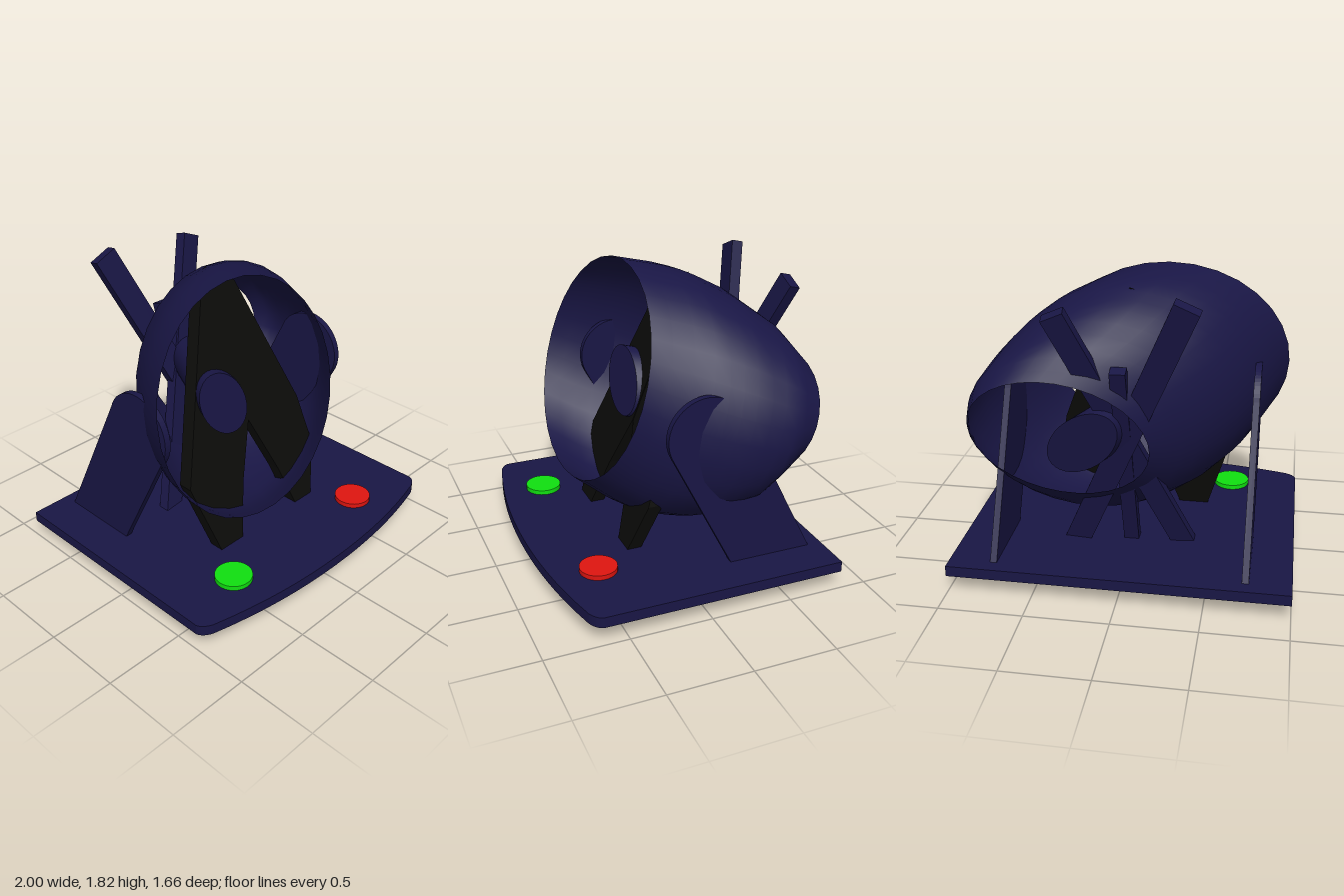
import * as THREE from 'three';

const paint = (color, side = THREE.FrontSide) => {
  const m = new THREE.MeshStandardMaterial({ side });
  m.color.set(color);
  return m;
};
const V = (x, y, z) => new THREE.Vector3(x, y, z);
const NAVY = 0x191645, BLACK = 0x0c0c0a;

export function createModel() {
  const model = new THREE.Group();
  model.name = 'deskFan';
  const navy = paint(NAVY), black = paint(BLACK);
  const add = (name, geometry, material) => {
    const mesh = new THREE.Mesh(geometry, material);
    mesh.name = name;
    model.add(mesh);
    return mesh;
  };
  const polygon = (pts) => new THREE.Shape(pts.map(([x, y]) => new THREE.Vector2(x, y)));

  // Base plate with a bowed front edge
  const plate = new THREE.Shape();
  plate.moveTo(-1, -0.835);
  plate.lineTo(1, -0.835);
  plate.lineTo(1, 0.65);
  plate.quadraticCurveTo(0.99, 0.69, 0.93, 0.715);
  plate.bezierCurveTo(0.6, 0.8, 0.3, 0.83, 0, 0.83);
  plate.bezierCurveTo(-0.3, 0.83, -0.6, 0.8, -0.93, 0.715);
  plate.quadraticCurveTo(-0.99, 0.69, -1, 0.65);
  const plateGeo = new THREE.ExtrudeGeometry(plate, { depth: 0.065, bevelEnabled: false, curveSegments: 8 });
  plateGeo.rotateX(Math.PI / 2);
  add('base', plateGeo, navy).position.y = 0.183;

  // Push buttons
  for (const [name, x, color] of [['startButton', -0.57, 0x10e010], ['stopButton', 0.54, 0xe01510]]) {
    add(name, new THREE.CylinderGeometry(0.113, 0.113, 0.04, 32), paint(color)).position.set(x, 0.192, 0.52);
  }

  // Leaning side supports with rounded tops
  const side = new THREE.Shape();
  side.moveTo(0.755, 0.17);
  side.lineTo(0.281, 1.1);
  side.absarc(0.06, 1.02, 0.235, 0.35, Math.PI + 0.5, false);
  side.lineTo(0.235, 0.17);
  const sideGeo = new THREE.ExtrudeGeometry(side, { depth: 0.04, bevelEnabled: false, curveSegments: 16 });
  sideGeo.rotateY(Math.PI / 2);
  for (const [name, x] of [['leftSupport', 0.735], ['rightSupport', -0.735]]) {
    add(name, sideGeo, navy).position.x = x - 0.02;
  }

  // Open skewed housing: rings of [centre x, y, z, half width, half height, skew]
  const rings = [
    [-0.18, 1.15, 0.285, 0.73, 0.66, 0],
    [0.0, 1.045, 0.0, 0.765, 0.715, 0],
    [0.12, 0.98, -0.22, 0.75, 0.68, 0],
    [0.25, 0.93, -0.46, 0.66, 0.57, 0.04],
    [0.35, 0.945, -0.635, 0.505, 0.385, 0.08],
  ];
  const centres = new THREE.CatmullRomCurve3(rings.map((r) => V(r[0], r[1], r[2])));
  const sizes = new THREE.CatmullRomCurve3(rings.map((r) => V(r[3], r[4], r[5])));
  const ROWS = 12, SEGS = 32, pos = [], index = [];
  for (let i = 0; i <= ROWS; i++) {
    const c = centres.getPoint(i / ROWS), s = sizes.getPoint(i / ROWS);
    for (let j = 0; j < SEGS; j++) {
      const a = (j / SEGS) * Math.PI * 2, cos = Math.cos(a), sin = Math.sin(a);
      pos.push(c.x + s.x * cos + s.z * sin, c.y + s.y * sin, c.z - 0.05 * s.x * cos - 0.3 * s.y * sin);
      if (i < ROWS) {
        const p = i * SEGS + j, q = i * SEGS + ((j + 1) % SEGS);
        index.push(p, p + SEGS, q, q, p + SEGS, q + SEGS);
      }
    }
  }
  const shellGeo = new THREE.BufferGeometry();
  shellGeo.setAttribute('position', new THREE.Float32BufferAttribute(pos, 3));
  shellGeo.setIndex(index);
  shellGeo.computeVertexNormals();
  add('housing', shellGeo, paint(NAVY, THREE.DoubleSide));

  // Black front blades standing in the tilted fan plane
  const lean = new THREE.Matrix4().set(1, 0, 0, 0, 0, 1, 0, 0, 0, -0.3, 1, 0.254, 0, 0, 0, 1);
  const blades = {
    rightBlade: [[-0.43, 0.16], [-0.26, 0.16], [-0.15, 0.5], [0.0, 0.84], [0.13, 1.62], [0.0, 1.74], [-0.13, 1.7], [-0.56, 0.62]],
    leftBlade: [[0.25, 0.16], [0.39, 0.16], [0.5, 0.5], [0.45, 0.82], [0.13, 1.65], [0.0, 1.73], [-0.12, 1.65], [0.0, 0.84], [0.16, 0.45]],
  };
  for (const [name, pts] of Object.entries(blades)) {
    const geo = new THREE.ExtrudeGeometry(polygon(pts), { depth: 0.09, bevelEnabled: false });
    geo.applyMatrix4(lean);
    if (name === 'leftBlade') geo.translate(0, 0, -0.005);
    add(name, geo, black);
  }

  // Skewed motor hub running from the front blades to the rear opening
  const hubGeo = new THREE.CylinderGeometry(1, 1, 1, 32);
  const front = V(-0.2, 1.03, 0.08), rear = V(0.215, 0.93, -0.63);
  const hubFrame = new THREE.Matrix4().makeBasis(V(-0.165, 0.165, -0.02), front.clone().sub(rear), V(0.115, 0.115, -0.04));
  hubFrame.setPosition(front.clone().add(rear).multiplyScalar(0.5));
  hubGeo.applyMatrix4(hubFrame);
  add('hub', hubGeo, navy);

  // Rear crossed bars and the short upright between them
  const bar = (name, top, bottom, width, depth) => {
    const d = top.clone().sub(bottom), length = d.length();
    d.normalize();
    const x = d.clone().cross(V(0, 0, 1)).normalize(), z = x.clone().cross(d);
    const geo = new THREE.BoxGeometry(width, length, depth);
    geo.applyMatrix4(new THREE.Matrix4().makeBasis(x, d, z).setPosition(top.clone().add(bottom).multiplyScalar(0.5)));
    add(name, geo, navy);
  };
  bar('rearBarRight', V(-0.38, 1.785, -0.75), V(0.33, 0.12, -0.32), 0.15, 0.07);
  bar('rearBarLeft', V(0.33, 1.72, -0.77), V(-0.39, 0.04, -0.24), 0.13, 0.07);
  bar('rearUpright', V(0, 1.39, -0.67), V(-0.02, 0.17, -0.3), 0.09, 0.07);

  return model;
}
